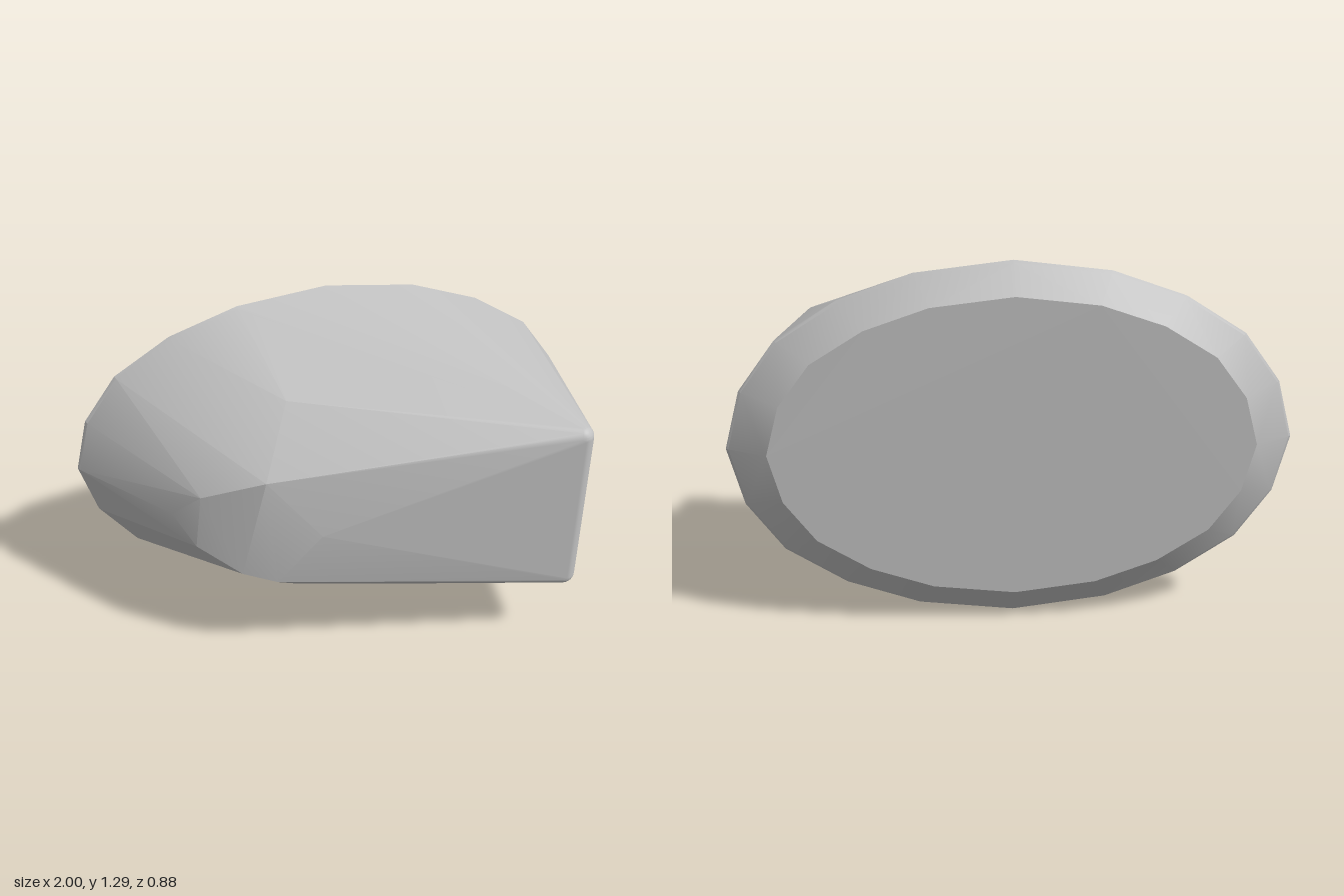
import * as THREE from 'three';
import { ConvexGeometry } from 'three/addons/geometries/ConvexGeometry.js';

const MID = 0.645;

// Smooths shallow edges, weighted by face area, and keeps steeper edges sharp
function softenShallowEdges(geometry, maxAngle) {
  const pos = geometry.attributes.position;
  const key = i => [pos.getX(i), pos.getY(i), pos.getZ(i)].map(v => v.toFixed(5)).join();
  const faces = [], around = new Map();
  for (let i = 0; i < pos.count; i++) {
    if (i % 3 === 0) {
      const [a, b, c] = [0, 1, 2].map(k => new THREE.Vector3().fromBufferAttribute(pos, i + k));
      faces.push(b.sub(a).cross(c.sub(a)));
    }
    const k = key(i);
    if (!around.has(k)) around.set(k, []);
    around.get(k).push(faces.at(-1));
  }
  for (let i = 0; i < pos.count; i++) {
    const own = faces[Math.floor(i / 3)];
    const sum = own.clone();
    for (const f of around.get(key(i))) if (f !== own && f.angleTo(own) < maxAngle) sum.add(f);
    sum.normalize();
    geometry.attributes.normal.setXYZ(i, sum.x, sum.y, sum.z);
  }
  return geometry;
}

export function createModel() {
  const group = new THREE.Group();
  group.name = 'climbingHold';
  const grey = new THREE.MeshStandardMaterial({ color: 0xc0c0c0 });
  grey.name = 'lightGrey';

  const points = [];

  // Oval rim with a slightly blunted edge, and the smaller oval of the flat back
  const quarter = [[0, 0.645], [0.34, 0.605], [0.6, 0.515], [0.815, 0.38], [0.945, 0.205], [1, 0]];
  const ovals = [[0.992, 0.988, -0.33], [1, 1, -0.345], [0.99, 0.985, -0.355], [0.85, 0.83, -0.44]];
  for (const [w, h, z] of ovals) for (const sx of [-1, 1]) for (const sy of [-1, 1]) {
    for (const [x, y] of quarter) points.push(new THREE.Vector3(sx * x * w, MID + sy * y * h, z));
  }

  // Rounded gripping edge on the model's left
  const ball = new THREE.SphereGeometry(0.045, 24, 16).attributes.position;
  for (const y of [0.955, 0.335]) for (let i = 0; i < ball.count; i++) {
    points.push(new THREE.Vector3().fromBufferAttribute(ball, i).add(new THREE.Vector3(0.737, y, 0.39)));
  }

  // Sloping front and the shoulders behind it
  const shoulders = [
    [-0.19, 0.64, 0.315], [-0.35, 0.42, 0.262], [-0.47, 0.44, 0.205], [-0.62, 0.53, 0.112],
    [-0.37, 0.85, 0.235], [-0.59, 0.75, 0.12], [-0.69, 0.64, 0.035],
    [-0.25, 1.06, 0.05], [-0.24, 0.22, 0.06], [0.24, 0.185, 0.15],
  ];
  for (const p of shoulders) points.push(new THREE.Vector3(...p));

  const hold = new THREE.Mesh(softenShallowEdges(new ConvexGeometry(points), 0.3), grey);
  hold.name = 'holdBody';
  group.add(hold);
  return group;
}
